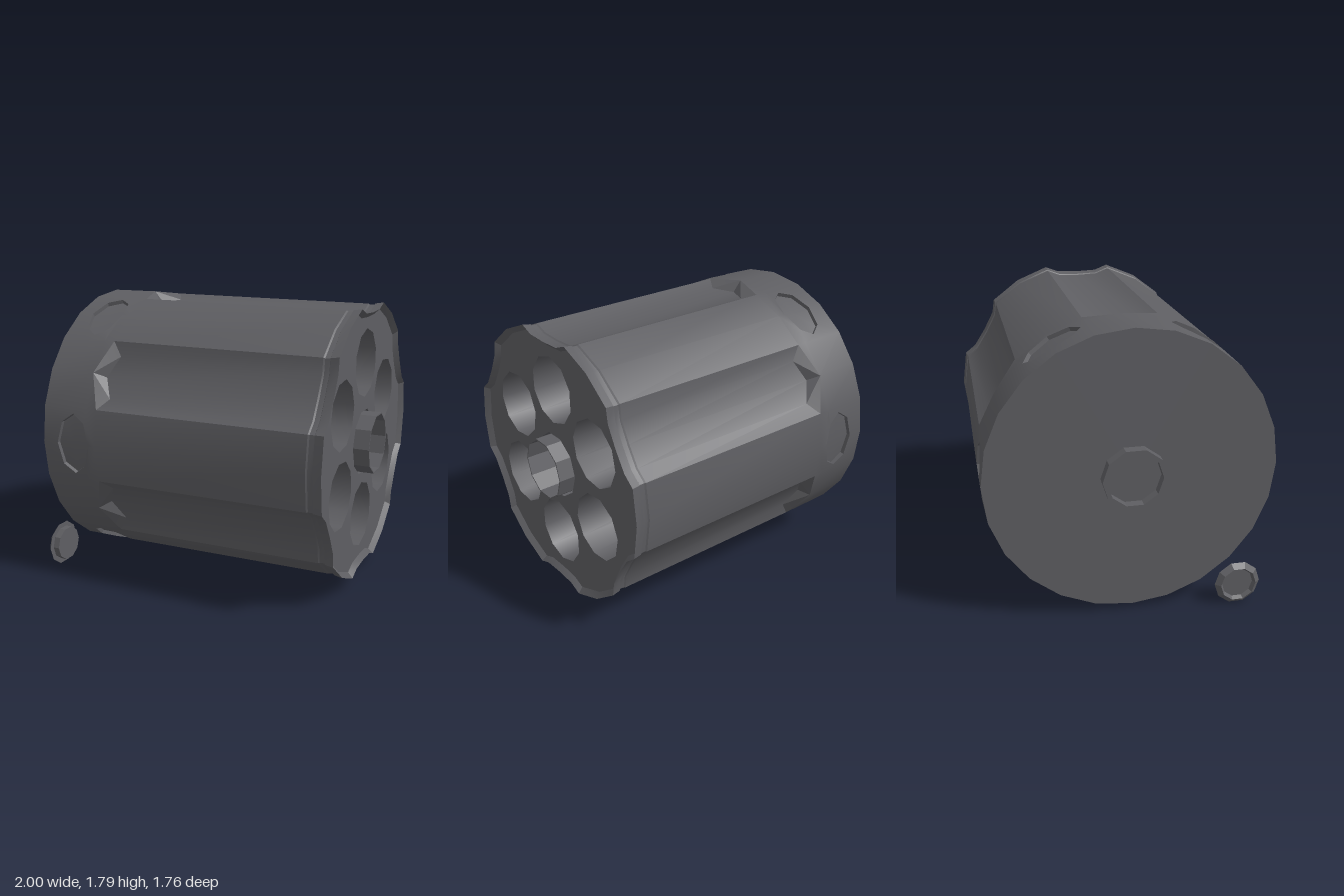
import * as THREE from 'three';
import { toCreasedNormals } from 'three/addons/utils/BufferGeometryUtils.js';

const CY = 0.915, R = 0.88, DEG = Math.PI / 180;
const BACK = -0.913, FACE = 0.905, LIP = 0.938;

// Point at distance r from the long (x) axis, angle a measured from +z towards +y
const polar = (x, a, r) => [x, CY + r * Math.sin(a), r * Math.cos(a)];

// Two triangles joining each pair of neighbouring rings
function sweep(out, rings) {
  for (let i = 0; i + 1 < rings.length; i++) {
    const p = rings[i], q = rings[i + 1], n = p.length;
    for (let j = 0; j < n; j++) {
      const k = (j + 1) % n;
      out.push(p[j], q[j], q[k], p[j], q[k], p[k]);
    }
  }
}

// Triangulate a 2D outline with holes, mapping every corner into space
function fill(out, outline, holes, map) {
  const shape = new THREE.Shape(outline);
  shape.holes = holes.map(h => new THREE.Path(h));
  const g = new THREE.ShapeGeometry(shape);
  const p = g.attributes.position;
  for (const i of g.index.array) out.push(map(p.getX(i), p.getY(i)));
}

// Round part along x from an [x, radius] profile; a falling x faces inward
function turned(profile, sides, y, z, turn = 0) {
  const out = [];
  sweep(out, profile.map(([x, r]) => Array.from({ length: sides }, (_, j) => {
    const a = turn + j / sides * Math.PI * 2;
    return [x, y + r * Math.sin(a), z + r * Math.cos(a)];
  })));
  return out;
}

function circle(u, v, r, n, turn) {
  return Array.from({ length: n }, (_, j) => {
    const a = turn + j / n * Math.PI * 2;
    return new THREE.Vector2(u + r * Math.sin(a), v + r * Math.cos(a));
  });
}

export function createModel() {
  const group = new THREE.Group();
  const steel = new THREE.MeshStandardMaterial({ color: 0x5e5e62 });
  steel.name = 'darkSteel';
  const add = (name, tris, crease = 0.38) => {
    // drop collapsed triangles at the cap centres
    const pts = [];
    const same = (a, b) => Math.hypot(a[0] - b[0], a[1] - b[1], a[2] - b[2]) < 1e-6;
    for (let i = 0; i < tris.length; i += 3) {
      const [a, b, c] = tris.slice(i, i + 3);
      if (!same(a, b) && !same(b, c) && !same(a, c)) pts.push(...a, ...b, ...c);
    }
    const g = new THREE.BufferGeometry();
    g.setAttribute('position', new THREE.Float32BufferAttribute(pts, 3));
    const mesh = new THREE.Mesh(toCreasedNormals(g, crease), steel);
    mesh.name = name;
    group.add(mesh);
  };

  // Fluted cross-section: per 60 degrees one flute and one land; each point is [angle, radius, start x]
  const section = [];
  for (let k = 0; k < 6; k++) {
    const c = (30 + 60 * k) * DEG, m = Math.atan2(0.14, 0.815);
    section.push([c - 15 * DEG, R, -0.53], [c - m, 0.828, -0.475], [c, 0.81, -0.54],
      [c + m, 0.828, -0.475], [c + 15 * DEG, R, -0.53], [c + 30 * DEG, R, -0.53]);
  }
  const ring = (x, s) => section.map(([a, r]) => polar(x, a, r * s));

  // Fluted shell, with a shallow groove and a flared lip at the open end
  const shell = [];
  sweep(shell, [section.map(([a, r, x]) => polar(x, a, r)), ring(0.84, 0.985), ring(0.85, 0.979),
    ring(0.88, 0.979), ring(0.884, 0.988), ring(LIP, 0.998), ring(FACE, 0.96)]);

  for (let k = 0; k < 6; k++) {
    // Plain band behind a flute and its pointed run-out
    const c = (30 + 60 * k) * DEG, h = 15 * DEG;
    const [e0, m0, d, m1, e1] = section.slice(k * 6, k * 6 + 5).map(([a, r, x]) => polar(x, a, r));
    const b = [-h, 0, h].map(t => polar(BACK, c + t, R));
    const f = [-h, 0, h].map(t => polar(-0.6, c + t, R));
    for (let j = 0; j < 2; j++) shell.push(b[j], f[j], f[j + 1], b[j], f[j + 1], b[j + 1]);
    const tip = f[1];
    shell.push(f[0], e0, tip, tip, e0, m0, tip, m0, d, tip, d, m1, tip, m1, e1, tip, e1, f[2]);

    // Band between flutes, with an oval stop notch
    const n = c + 30 * DEG;
    const oval = Array.from({ length: 8 }, (_, j) => {
      const a = j * Math.PI / 4;
      return new THREE.Vector2(-0.695 + 0.113 * Math.cos(a), 12.6 * DEG * Math.sin(a));
    });
    const outline = [[BACK, -h], [-0.6, -h], [-0.53, -h], [-0.53, 0], [-0.53, h], [-0.6, h], [BACK, h], [BACK, 0]]
      .map(p => new THREE.Vector2(...p));
    fill(shell, outline, [oval], (x, a) => polar(x, n + a, R));
    const rim = oval.map(p => polar(p.x, n + p.y, R));
    const base = oval.map(p => polar(p.x, n + p.y, R - 0.025));
    sweep(shell, [oval.map(() => polar(-0.695, n, R - 0.025)), base, rim]);
  }
  add('flutedShell', shell);

  // Flat closed end
  add('backPlate', turned([[BACK, 0], [BACK, R]], 24, CY, 0));

  // Recessed end face pierced by six chambers and the axle hole
  const holes = [circle(-0.008, 0, 0.21, 10, 0)];
  for (let k = 0; k < 6; k++) {
    const a = (30 + 60 * k) * DEG;
    const u = 0.495 * Math.sin(a), v = 0.495 * Math.cos(a);
    holes.push(circle(u, v, 0.215, 10, a));
    add('chamber', turned([[FACE, 0.215], [-0.85, 0.207], [-0.85, 0]], 10, CY + u, v, a), 0.7);
  }
  const face = [];
  fill(face, section.map(([a, r]) => new THREE.Vector2(r * 0.96 * Math.sin(a), r * 0.96 * Math.cos(a))),
    holes, (u, v) => [FACE, CY + u, v]);
  add('frontPlate', face);
  add('axleBore', turned([[FACE, 0.21], [-0.85, 0.21], [-0.85, 0]], 10, CY - 0.008, 0), 0.3);

  // Axle sleeve poking out of both ends, hollow at each
  add('axleSleeve', turned([[-0.918, 0], [-0.918, 0.168], [-0.975, 0.168], [-0.975, 0.195], [1, 0.195],
    [1, 0.187], [-0.84, 0.187], [-0.84, 0]], 10, CY - 0.008, 0), 0.3);

  // Small loose flanged cap with a dished back
  add('looseCap', turned([[-0.975, 0], [-0.975, 0.098], [-1, 0.112], [-0.972, 0.145], [-0.972, 0.112],
    [-0.93, 0.112], [-0.93, 0]], 10, 0.14, 0.66), 0.3);

  return group;
}
